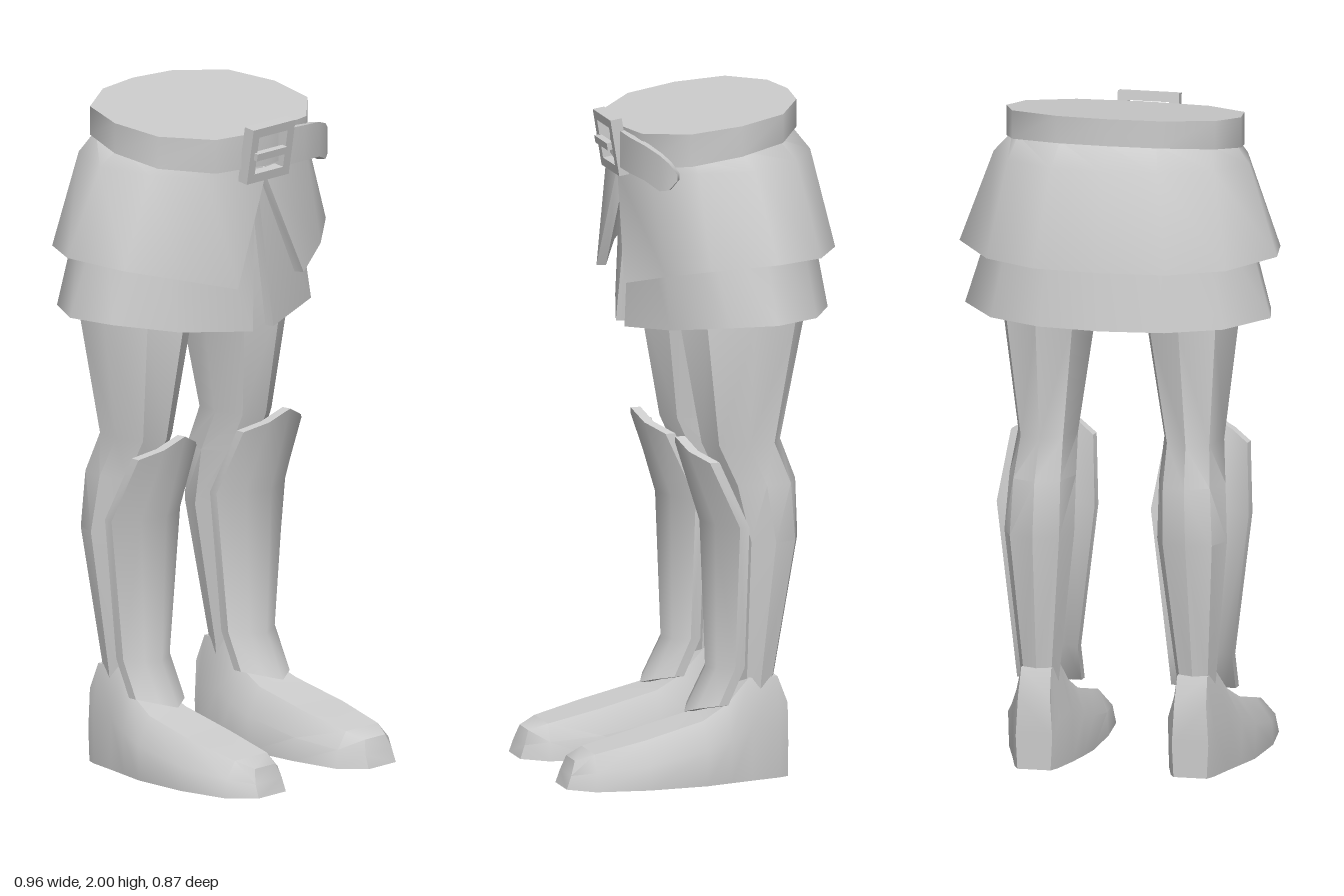
import * as THREE from 'three';
import { toCreasedNormals } from 'three/addons/utils/BufferGeometryUtils.js';

const material = new THREE.MeshStandardMaterial({ color: 0xcccccc });

function addMesh(parent, name, geometry) {
  const mesh = new THREE.Mesh(geometry, material);
  mesh.name = name;
  parent.add(mesh);
  return mesh;
}

// Solid through closed rings of [x, y, z]; each end is closed by a ladder of quads.
function loft(rings, crease = 0.75) {
  const n = rings[0].length, tris = [];
  const quad = (a, b, c, d) => tris.push([a, b, c], [a, c, d]);
  for (let r = 0; r + 1 < rings.length; r++) {
    for (let i = 0; i < n; i++) {
      const j = (i + 1) % n;
      quad(rings[r][i], rings[r][j], rings[r + 1][j], rings[r + 1][i]);
    }
  }
  const cap = (ring, flip) => {
    for (let i = 0; i < n / 2 - 1; i++) {
      const q = [ring[i], ring[n - 1 - i], ring[n - 2 - i], ring[i + 1]];
      quad(...(flip ? q.reverse() : q));
    }
  };
  cap(rings[0], false);
  cap(rings[rings.length - 1], true);
  // A negative volume means the faces point inward
  let volume = 0;
  for (const [a, b, c] of tris) {
    volume += a[0] * (b[1] * c[2] - b[2] * c[1])
      + a[1] * (b[2] * c[0] - b[0] * c[2])
      + a[2] * (b[0] * c[1] - b[1] * c[0]);
  }
  if (volume < 0) tris.forEach((t) => t.reverse());
  const geometry = new THREE.BufferGeometry();
  geometry.setAttribute('position', new THREE.Float32BufferAttribute(tris.flat(2), 3));
  return toCreasedNormals(geometry, crease);
}

// Thick sheet: each row of points becomes a ring with its offset copy
const sheet = (rows, offset, crease) =>
  loft(rows.map((row) => [...row, ...row.map(offset).reverse()]), crease);

// Half a row, mirrored across x; the last point lies on the centre line
const mirrorRow = (half) =>
  [...half, ...half.slice(0, -1).reverse().map(([x, y, z]) => [-x, y, z])];

// Offset toward the vertical axis of the hips
const inward = (t) => ([x, y, z]) => {
  const d = Math.hypot(x, z + 0.1);
  return [x - t * x / d, y, z - t * (z + 0.1) / d];
};

function addSkirts(group) {
  const upper = [
    [[0.005, 1.85, 0.18], [0.2, 1.87, 0.145], [0.31, 1.87, 0.05], [0.335, 1.89, -0.09],
      [0.29, 1.91, -0.22], [0.145, 1.92, -0.3], [0, 1.92, -0.32]],
    [[0.006, 1.78, 0.19], [0.22, 1.81, 0.155], [0.345, 1.83, 0.04], [0.385, 1.835, -0.12],
      [0.31, 1.845, -0.27], [0.16, 1.85, -0.355], [0, 1.85, -0.375]],
    [[0.145, 1.475, 0.21], [0.31, 1.52, 0.13], [0.445, 1.555, 0.03], [0.478, 1.57, -0.165],
      [0.36, 1.56, -0.33], [0.2, 1.56, -0.42], [0, 1.56, -0.435]],
  ];
  const lower = [
    [[0.006, 1.77, 0.15], [0.2, 1.75, 0.12], [0.32, 1.75, 0.02], [0.35, 1.75, -0.13],
      [0.28, 1.75, -0.27], [0.145, 1.75, -0.34], [0, 1.75, -0.355]],
    [[0.045, 1.325, 0.18], [0.29, 1.355, 0.11], [0.43, 1.38, -0.03], [0.46, 1.385, -0.17],
      [0.35, 1.38, -0.32], [0.19, 1.38, -0.4], [0, 1.38, -0.42]],
  ];
  addMesh(group, 'upperSkirt', sheet(upper.map(mirrorRow), inward(0.028), 0.9));
  addMesh(group, 'lowerSkirt', sheet(lower.map(mirrorRow), inward(0.028), 0.9));
}

function addBelt(group) {
  // Tilted waistband, higher at the back
  const half = [[0, 0.2], [0.2, 0.172], [0.33, 0.06], [0.353, -0.09], [0.305, -0.23], [0.153, -0.315], [0, -0.333]];
  const outline = [...half, ...half.slice(1, -1).reverse().map(([x, z]) => [-x, z])];
  const ring = (y, tilt) => outline.map(([x, z]) => [x, y - tilt * z, z]);
  addMesh(group, 'belt', loft([ring(1.86, 0.18), ring(1.955, 0.14)]));

  // Loose strap end, drooping to the wearer's left: x, z, bottom, top
  const strap = [[0.06, 0.205, 1.81, 1.92], [0.16, 0.2, 1.808, 1.915], [0.25, 0.178, 1.8, 1.905],
    [0.31, 0.15, 1.778, 1.885], [0.34, 0.13, 1.785, 1.865], [0.358, 0.11, 1.815, 1.835]];
  addMesh(group, 'strapEnd', sheet(
    strap.map(([x, z, low, high]) => [[x, low, z], [x, high, z]]), inward(0.025)));

  // Square buckle frame with its pin
  const buckle = new THREE.Group();
  buckle.name = 'buckle';
  const rectangle = (Type, w, h) => new Type([
    new THREE.Vector2(-w / 2, -h / 2), new THREE.Vector2(w / 2, -h / 2),
    new THREE.Vector2(w / 2, h / 2), new THREE.Vector2(-w / 2, h / 2)]);
  const frame = rectangle(THREE.Shape, 0.185, 0.17);
  frame.holes.push(rectangle(THREE.Path, 0.125, 0.115));
  const frameGeometry = new THREE.ExtrudeGeometry(frame, { depth: 0.035, bevelEnabled: false });
  addMesh(buckle, 'buckleFrame', frameGeometry.translate(0, 0, -0.0175));
  addMesh(buckle, 'bucklePin', new THREE.BoxGeometry(0.13, 0.022, 0.02)).position.set(-0.01, 0, 0.02);
  buckle.position.set(-0.01, 1.87, 0.203);
  buckle.rotation.x = 0.16;
  group.add(buckle);
}

function createLeg(side) {
  const leg = new THREE.Group();
  leg.name = side > 0 ? 'leftLeg' : 'rightLeg';

  // Eight-sided leg: y, centre x, centre z, radius x, radius z
  const limb = [[1.74, 0.165, -0.11, 0.13, 0.17], [1.36, 0.215, -0.13, 0.14, 0.19],
    [1.0, 0.22, -0.125, 0.09, 0.12], [0.88, 0.225, -0.175, 0.1, 0.115],
    [0.71, 0.23, -0.2, 0.105, 0.095], [0.29, 0.235, -0.165, 0.06, 0.054],
    [0.2, 0.235, -0.165, 0.05, 0.05]];
  addMesh(leg, 'limb', loft(limb.map(([y, cx, cz, rx, rz]) =>
    Array.from({ length: 8 }, (_, i) => {
      const a = i * Math.PI / 4;
      return [side * (cx + rx * Math.cos(a)), y, cz + rz * Math.sin(a)];
    })), 0.7));

  // Boot, heel to toe: z, centre x, sole, middle and top half widths, middle and top heights, lean
  const boot = [
    [-0.25, 0.235, 0.05, 0.055, 0.048, 0.1, 0.22, 0],
    [-0.22, 0.235, 0.065, 0.068, 0.045, 0.15, 0.3, 0],
    [-0.13, 0.235, 0.09, 0.09, 0.05, 0.16, 0.3, 0],
    [-0.06, 0.238, 0.108, 0.112, 0.065, 0.13, 0.23, 0],
    [0.02, 0.243, 0.127, 0.13, 0.08, 0.105, 0.187, 0],
    [0.2, 0.248, 0.137, 0.133, 0.085, 0.07, 0.14, 0],
    [0.36, 0.245, 0.122, 0.112, 0.07, 0.055, 0.103, 0.1],
    [0.432, 0.243, 0.06, 0.058, 0.045, 0.04, 0.082, 0.35],
  ];
  addMesh(leg, 'boot', loft(boot.map(([z, cx, ws, wm, wt, ym, yt, lean]) =>
    [[-ws, 0], [-wm, ym], [-wt, yt], [wt, yt], [wm, ym], [ws, 0]]
      .map(([x, y]) => [side * (cx + x), y, z - lean * y]))));

  // Curved shin guard: half width, centre y and z, edge y and z
  const guard = [
    [0.128, 1.025, 0.08, 0.965, 0.01],
    [0.152, 0.77, 0.005, 0.77, -0.075],
    [0.1, 0.33, -0.012, 0.34, -0.075],
    [0.1, 0.2, 0.052, 0.23, -0.025],
  ];
  addMesh(leg, 'shinGuard', sheet(guard.map(([w, yc, zc, ye, ze]) =>
    [-1, -0.55, 0, 0.55, 1].map((u) => {
      const k = u * u;
      return [side * (0.232 + u * w), yc + (ye - yc) * Math.abs(u), zc + (ze - zc) * k];
    })), ([x, y, z]) => [side * 0.232 + (x - side * 0.232) * 0.97, y, z - 0.03], 0.8));
  return leg;
}

export function createModel() {
  const model = new THREE.Group();
  model.name = 'armouredLegs';
  addSkirts(model);
  addBelt(model);
  model.add(createLeg(1), createLeg(-1));
  return model;
}
